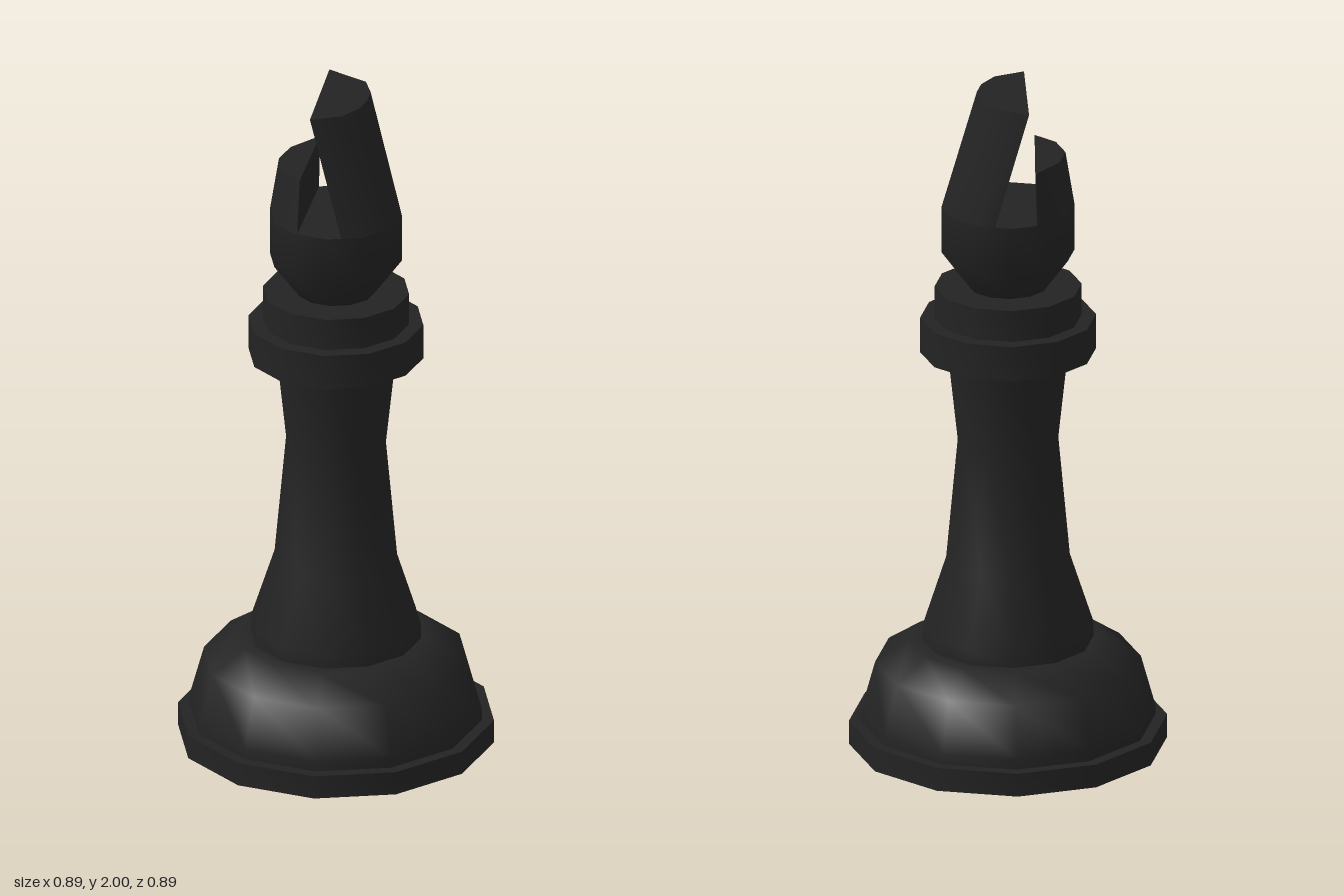
import * as THREE from 'three';
import { toCreasedNormals } from 'three/addons/utils/BufferGeometryUtils.js';
import { ConvexGeometry } from 'three/addons/geometries/ConvexGeometry.js';

const SIDES = 12;
const CREASE = 0.9;
const black = new THREE.MeshStandardMaterial({ color: 0x232323, side: THREE.DoubleSide });
black.name = 'black';

function addMesh(group, name, geometry) {
  const mesh = new THREE.Mesh(toCreasedNormals(geometry, CREASE), black);
  mesh.name = name;
  group.add(mesh);
}

// Twelve-sided turned part; profile is [distance from axis to flat side, height]
function turned(profile) {
  const scale = 1 / Math.cos(Math.PI / SIDES);
  const points = profile.map(([r, y]) => new THREE.Vector2(r * scale, y));
  return new THREE.LatheGeometry(points, SIDES, Math.PI / SIDES);
}

// Convex block between two horizontal outlines of [x, z] points
function block(bottom, y0, top, y1) {
  return new ConvexGeometry([
    ...bottom.map(([x, z]) => new THREE.Vector3(x, y0, z)),
    ...top.map(([x, z]) => new THREE.Vector3(x, y1, z)),
  ]);
}

export function createModel() {
  const group = new THREE.Group();
  group.name = 'chessBishop';

  // Hollow base, open underneath
  addMesh(group, 'base', turned([
    [0.443, 0], [0.443, 0.07], [0.41, 0.07], [0.41, 0.1],
    [0.37, 0.25], [0.275, 0.315], [0.238, 0.315],
  ]));

  // Waisted shaft
  addMesh(group, 'shaft', turned([
    [0.238, 0.315], [0.238, 0.36], [0.172, 0.57], [0.14, 0.93], [0.168, 1.2],
  ]));

  // Stepped collar
  addMesh(group, 'collar', turned([
    [0.168, 1.2], [0.245, 1.2], [0.245, 1.305], [0.205, 1.305], [0.205, 1.4], [0.11, 1.4],
  ]));

  // Lower head, up to the floor of the slot
  addMesh(group, 'head', turned([
    [0.11, 1.4], [0.185, 1.505], [0.185, 1.645], [0, 1.645],
  ]));

  // Tall half of the mitre, leaning over the slot
  addMesh(group, 'tallMitreHalf', block(
    [[0, -0.185], [0.05, -0.185], [0.135, -0.135], [0.185, -0.05], [0.185, 0.05], [0.135, 0.135], [0.085, 0.164]],
    1.645,
    [[-0.1, -0.188], [0.03, -0.15], [0.07, -0.09], [0.085, -0.03], [0.085, 0.03], [0.06, 0.1], [-0.015, 0.157]],
    2,
  ));

  // Short half of the mitre, with an upright slot wall
  addMesh(group, 'shortMitreHalf', block(
    [[-0.115, -0.147], [-0.135, -0.135], [-0.185, -0.05], [-0.185, 0.05], [-0.135, 0.135], [-0.05, 0.185], [-0.043, 0.185]],
    1.645,
    [[-0.112, -0.147], [-0.16, -0.043], [-0.16, 0.043], [-0.117, 0.118], [-0.045, 0.162]],
    1.805,
  ));

  return group;
}
